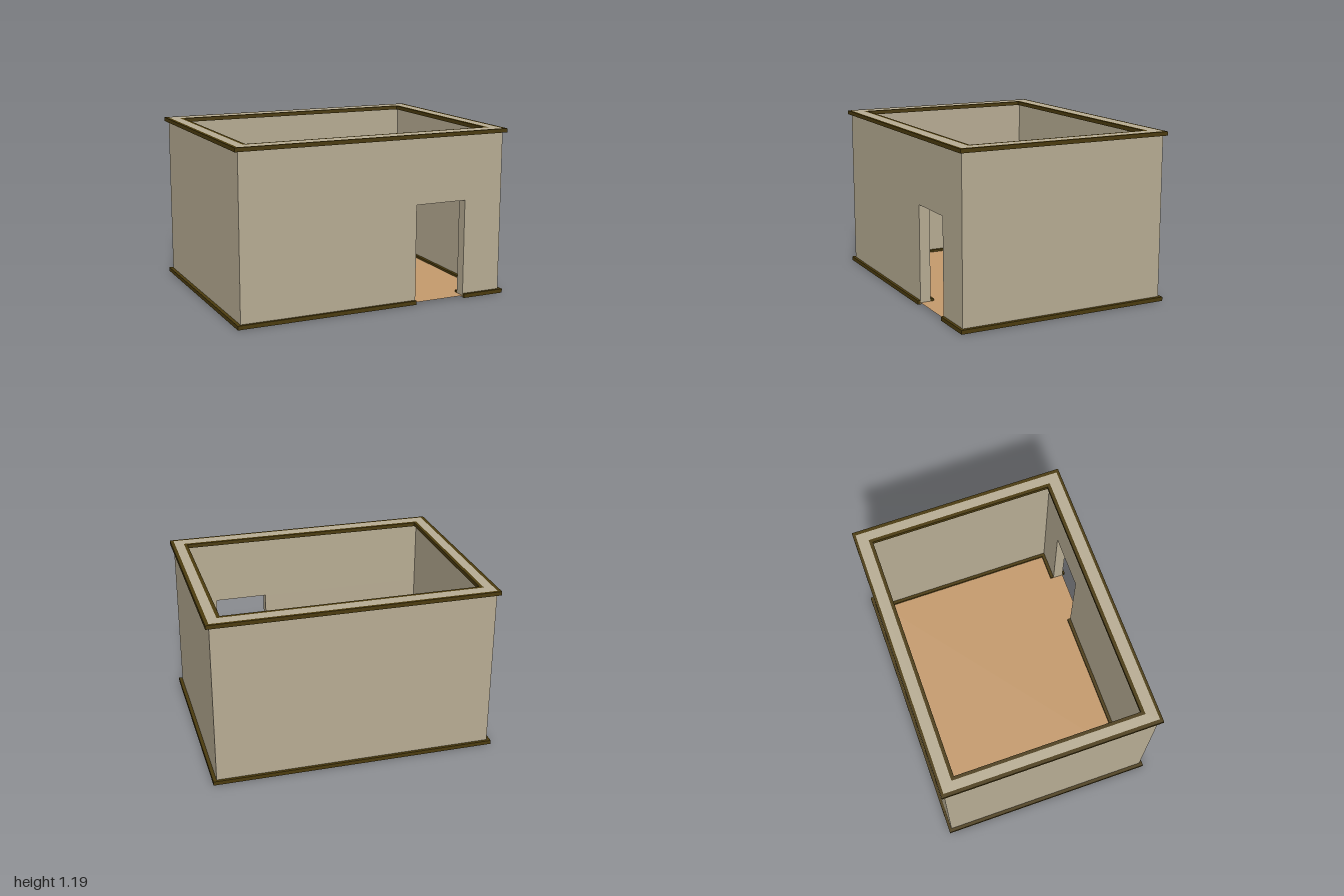
import * as THREE from 'three';

const wallMat = new THREE.MeshStandardMaterial({ name: 'plaster', color: 0xb8ad94 });
const trimMat = new THREE.MeshStandardMaterial({ name: 'darkWood', color: 0x4b3b0e });
const floorMat = new THREE.MeshStandardMaterial({ name: 'floorBoards', color: 0xc49a6c, side: THREE.DoubleSide });

const WALL_OUT = [0.975, 0.75], WALL_IN = [0.91, 0.674];
const TRIM_OUT = [1, 0.77], TRIM_IN = [0.886, 0.65];
const DOOR = [0.305, 0.685], DOOR_TOP = 0.7, TOP = 1.185, TRIM_H = 0.028;

// Rectangular ring from y0 to y1, optionally cut open at the doorway in front
function ring(name, mat, [ox, oz], [ix, iz], y0, y1, doorway) {
  const outer = [[-ox, -oz], [ox, -oz], [ox, oz], [-ox, oz]];
  const inner = [[-ix, -iz], [-ix, iz], [ix, iz], [ix, -iz]];
  const pts = (list) => list.map(([x, y]) => new THREE.Vector2(x, y));
  let shape;
  if (doorway) {
    const [l, r] = DOOR;
    shape = new THREE.Shape(pts([
      [r, -oz], [ox, -oz], [ox, oz], [-ox, oz], [-ox, -oz], [l, -oz],
      [l, -iz], [-ix, -iz], [-ix, iz], [ix, iz], [ix, -iz], [r, -iz],
    ]));
  } else {
    shape = new THREE.Shape(pts(outer));
    shape.holes.push(new THREE.Path(pts(inner)));
  }
  const geo = new THREE.ExtrudeGeometry(shape, { depth: y1 - y0, bevelEnabled: false });
  geo.rotateX(-Math.PI / 2).translate(0, y0, 0);
  const mesh = new THREE.Mesh(geo, mat);
  mesh.name = name;
  return mesh;
}

export function createModel() {
  const room = new THREE.Group();
  room.name = 'room';

  // Walls: open at the doorway below, closed above it
  room.add(ring('lowerWalls', wallMat, WALL_OUT, WALL_IN, 0, DOOR_TOP, true));
  room.add(ring('upperWalls', wallMat, WALL_OUT, WALL_IN, DOOR_TOP, TOP, false));

  // Skirting and cornice, outside and inside
  for (const [name, y, doorway] of [['Skirting', 0, true], ['Cornice', TOP - TRIM_H, false]]) {
    room.add(ring('outer' + name, trimMat, TRIM_OUT, WALL_OUT, y, y + TRIM_H, doorway));
    room.add(ring('inner' + name, trimMat, WALL_IN, TRIM_IN, y, y + TRIM_H, doorway));
  }

  // Floor sheet, reaching out through the doorway
  const floor = new THREE.Mesh(new THREE.PlaneGeometry(WALL_OUT[0] * 2, WALL_OUT[1] * 2), floorMat);
  floor.name = 'floor';
  floor.rotation.x = -Math.PI / 2;
  floor.position.y = 0.012;
  room.add(floor);

  return room;
}
